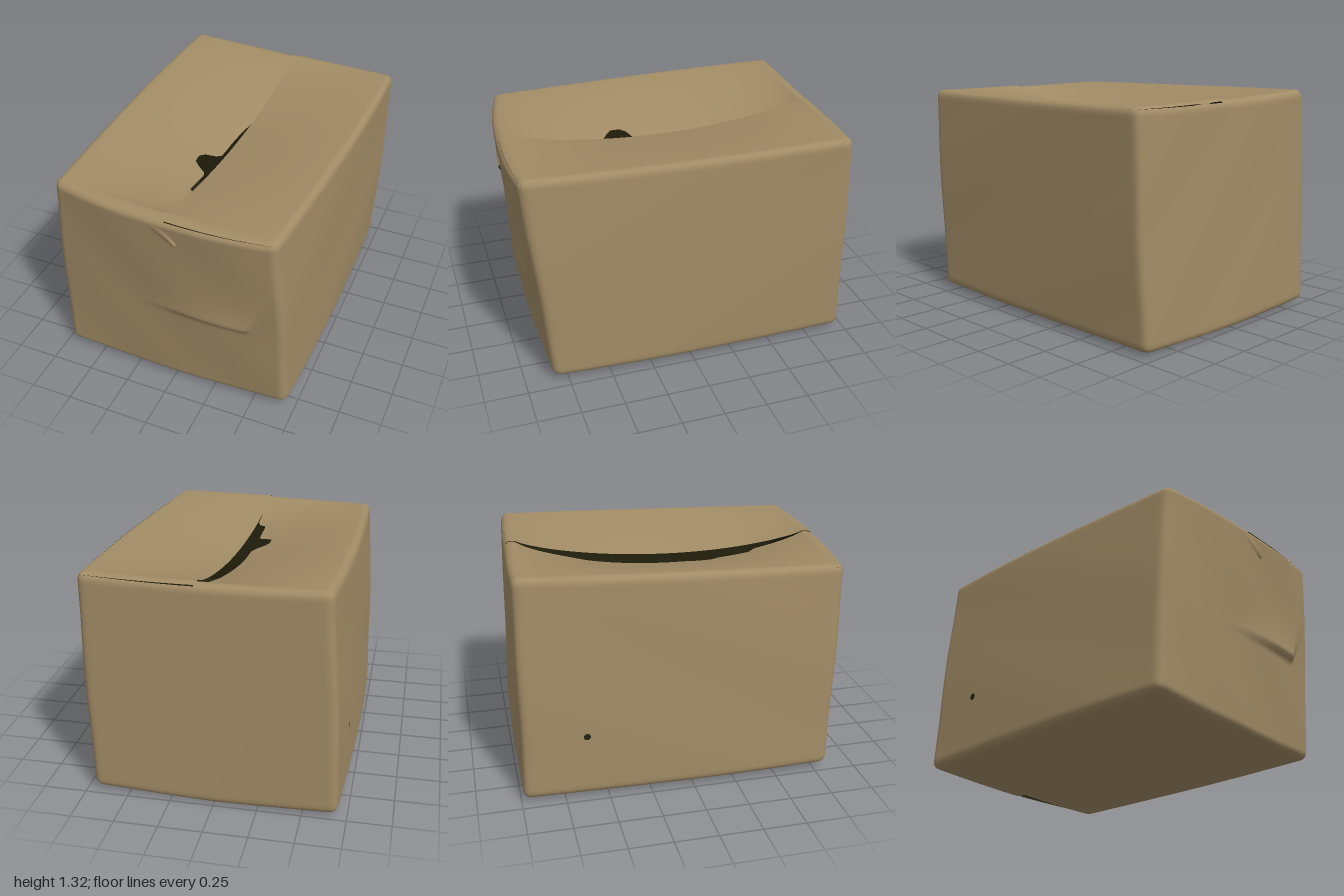
import * as THREE from 'three';

const cardboard = new THREE.MeshStandardMaterial({ color: 0xa18b65 });
cardboard.name = 'cardboard';
const darkInside = new THREE.MeshStandardMaterial({ color: 0x24210e, side: THREE.BackSide });
darkInside.name = 'dark inside';
const darkHole = new THREE.MeshStandardMaterial({ color: 0x24210e, side: THREE.DoubleSide });
darkHole.name = 'dark hole';

const HALF = new THREE.Vector3(0.7, 0.64, 0.93);
const RADIUS = 0.045;
const lerp = THREE.MathUtils.lerp;
const smooth = THREE.MathUtils.smoothstep;

// Corners of the battered box: [y][z] -> left and right points
const CORNERS = [
  [[[-0.7, 0.02, -0.985], [0.708, 0.02, -0.965]], [[-0.725, 0.03, 0.83], [0.7, 0.03, 0.835]]],
  [[[-0.63, 1.322, -0.98], [0.748, 1.312, -0.925]], [[-0.675, 1.268, 0.875], [0.65, 1.278, 0.955]]],
];

// Raised crease across the front: soft above, sharp below, drifting outward as it rises
function frontCrease(u, v) {
  const x = u * 0.68, y = 0.65 + v * 0.62;
  const d = y - 0.605;
  const up = Math.max(0, d);
  const end = 0.45 + 0.35 * up;
  const along = smooth(x, -0.2 + up, 0.4 + 0.3 * up) * (1 - smooth(x, end, end + 0.06 + 0.3 * up));
  const across = d > 0 ? Math.exp(-d / 0.13) : Math.exp(-((d / 0.022) ** 2));
  return 0.032 * along * across;
}

// Cube point (each coordinate -1..1) -> rounded, dented box
function warp(u, v, w) {
  const q = new THREE.Vector3(u, v, w).multiply(HALF);
  const inner = HALF.clone().subScalar(RADIUS);
  const c = q.clone().clamp(inner.clone().negate(), inner);
  q.sub(c).setLength(RADIUS).add(c).divide(HALF);
  const [a, b, d] = [q.x, q.y, q.z];
  const pt = [0, 1, 2].map((i) => {
    const edge = (j, k) => lerp(CORNERS[j][k][0][i], CORNERS[j][k][1][i], (a + 1) / 2);
    const level = (j) => lerp(edge(j, 0), edge(j, 1), (d + 1) / 2);
    return lerp(level(0), level(1), (b + 1) / 2);
  });
  const ka = 1 - a * a, kb = 1 - b * b, kd = 1 - d * d;
  pt[0] += a * (0.022 * kd + 0.008 * kb);
  pt[1] -= b < 0 ? 0.02 * ka * -b : 0.012 * ka * b;
  if (d > 0) pt[2] += d ** 6 * (0.055 * ka * (0.62 + 0.38 * b) + frontCrease(a, b));
  else pt[2] -= d ** 6 * 0.01 * ka;
  // gentle waviness
  pt[0] += 0.003 * Math.sin(7 * pt[1] + 3 * d) * a;
  pt[2] += 0.002 * Math.sin(6 * a + 5 * b) * d;
  return new THREE.Vector3(...pt);
}

// Grid surface from a rule f(s, t) with s, t in 0..1
function patch(f, n, m) {
  const pos = [], idx = [];
  for (let j = 0; j <= m; j++) {
    for (let i = 0; i <= n; i++) pos.push(...f(i / n, j / m).toArray());
  }
  for (let j = 0; j < m; j++) {
    for (let i = 0; i < n; i++) {
      const k = j * (n + 1) + i;
      idx.push(k, k + 1, k + n + 2, k, k + n + 2, k + n + 1);
    }
  }
  const g = new THREE.BufferGeometry();
  g.setAttribute('position', new THREE.Float32BufferAttribute(pos, 3));
  g.setIndex(idx);
  g.computeVertexNormals();
  return g;
}

// Sampling that is denser at both ends, or at the outer edge of a flap
const ends = (s) => -Math.cos(Math.PI * s);
const across = (side, from, to, s) =>
  lerp(from, to, side < 0 ? 1 - Math.cos(s * Math.PI / 2) : Math.sin(s * Math.PI / 2));

// The left top flap is torn back from the seam, leaving a slit with a notch
const SEAM = 0.04;
function slit(z) {
  const open = smooth(z, -0.64, 0.0) * (1 - smooth(z, 0.54, 0.59));
  return -0.012 + 0.06 * open + 0.1 * Math.exp(-(((z - 0.25) / 0.08) ** 4));
}

// Flap hinged at its outer edge and sagging towards the seam, flat at front and back
function topFlap(side) {
  return patch((s, t) => {
    const w = -ends(t);
    const mid = SEAM - (side < 0 ? slit(w * 0.93) / 0.7 : 0);
    const u = side < 0 ? across(side, -1, mid, s) : across(side, mid, 1, s);
    const p = warp(u, 1, w);
    const near = Math.max(0, 1 - Math.abs(u - SEAM));
    const sag = near ** 1.4 * Math.max(0, 1 - (w / 0.93) ** 2) ** 0.75;
    p.y -= (side < 0 ? 0.165 : 0.115) * sag;
    if (side > 0) p.y += 0.008 * near;
    return p;
  }, 36, 90);
}

// Bottom flaps overlap at the middle, the right one pushed up inside
function bottomFlap(side) {
  return patch((s, t) => {
    const u = side < 0 ? across(side, -1, 0.01, s) : across(side, -0.01, 1, s);
    const p = warp(u, -1, ends(t));
    if (side > 0) p.y += 0.028 * Math.max(0, 1 - Math.abs(u)) ** 1.6;
    return p;
  }, 30, 40);
}

export function createModel() {
  const model = new THREE.Group();
  model.name = 'cardboardBox';

  // Each panel is cardboard outside and dark inside
  const addPanel = (name, geometry) => {
    const panel = new THREE.Group();
    panel.name = name;
    const outside = new THREE.Mesh(geometry, cardboard);
    outside.name = name + 'Outside';
    const inside = new THREE.Mesh(geometry, darkInside);
    inside.name = name + 'Inside';
    panel.add(outside, inside);
    model.add(panel);
  };

  // Walls
  const walls = {
    frontWall: (a, b) => warp(a, b, 1),
    backWall: (a, b) => warp(-a, b, -1),
    leftSideWall: (a, b) => warp(1, b, -a),
    rightSideWall: (a, b) => warp(-1, b, a),
  };
  for (const [name, f] of Object.entries(walls)) {
    const n = name === 'frontWall' ? 110 : 44;
    addPanel(name, patch((s, t) => f(ends(s), ends(t)), n, n));
  }

  // Top and bottom flaps
  for (const [side, label] of [[-1, 'Right'], [1, 'Left']]) {
    addPanel('topFlap' + label, topFlap(side));
    addPanel('bottomFlap' + label, bottomFlap(side));
  }

  // Small peeled tab near the top of the front
  addPanel('peeledTab', patch((s, t) => {
    const x = lerp(-0.06, 0.1, s);
    const y = 1.21 - 0.04 * s - 0.05 * s * s + (t - 0.5) * 0.06 * Math.sin(Math.PI * (0.08 + 0.72 * s));
    const p = warp(x / 0.67, (y - 0.65) / 0.625, 1);
    p.set(x, y, p.z + 0.002 + 0.016 * s * Math.sin(Math.PI * (0.1 + 0.8 * t)));
    return p;
  }, 12, 8));

  // Small puncture in the side wall
  const hole = new THREE.Mesh(new THREE.CircleGeometry(0.02, 12), darkHole);
  hole.name = 'puncture';
  hole.position.copy(warp(-1, (0.38 - 0.65) / 0.63, -0.6));
  hole.position.x -= 0.004;
  hole.rotation.y = -Math.PI / 2;
  model.add(hole);

  return model;
}
